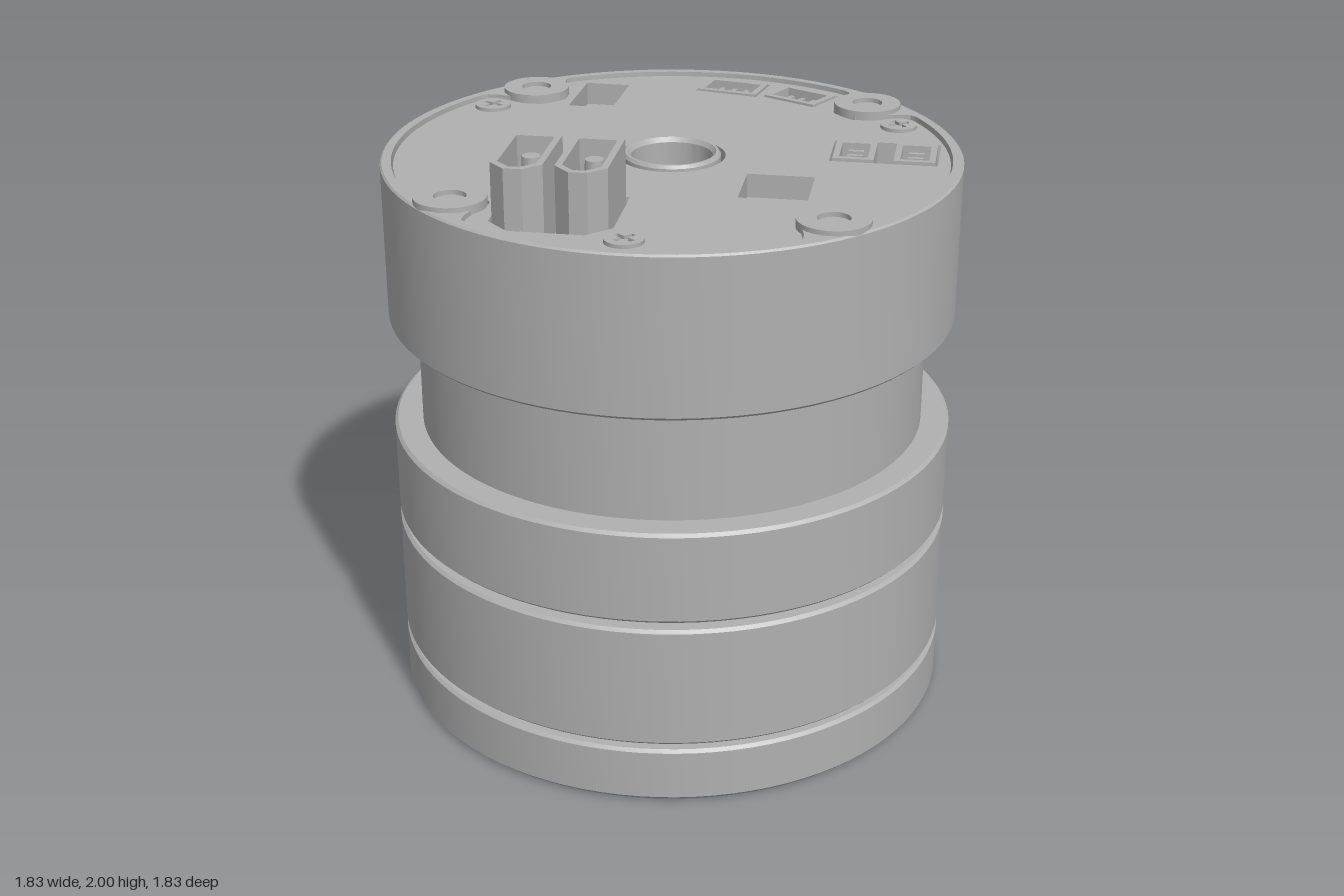
import * as THREE from 'three';
import { toCreasedNormals } from 'three/addons/utils/BufferGeometryUtils.js';

const SEG = 96, R = 0.917, TAU = Math.PI * 2;
const grey = new THREE.MeshStandardMaterial({ color: 0xb0b0b0 });
grey.name = 'machined grey';

export function createModel() {
  const model = new THREE.Group();
  model.name = 'hollowShaftActuator';

  const add = (name, geo, parent = model) => {
    const mesh = new THREE.Mesh(toCreasedNormals(geo, 0.5), grey);
    mesh.name = name;
    parent.add(mesh);
    return mesh;
  };
  const group = (name, parent = model) => {
    const g = new THREE.Group();
    g.name = name;
    parent.add(g);
    return g;
  };
  const lathe = (pts) => new THREE.LatheGeometry(pts.map(p => new THREE.Vector2(...p)), SEG);

  // Horizontal plate: outline points are (x, z), filling y0..y1
  const plate = (outline, holes, y0, y1) => {
    const shape = new THREE.Shape(outline);
    shape.holes = holes.map(h => new THREE.Path(h));
    return new THREE.ExtrudeGeometry(shape, { depth: y1 - y0, bevelEnabled: false })
      .rotateX(Math.PI / 2).translate(0, y1, 0);
  };
  const polar = (fn, n = SEG) => Array.from({ length: n }, (_, i) => {
    const a = i / n * TAU, r = fn(a);
    return new THREE.Vector2(r * Math.cos(a), r * Math.sin(a));
  });
  const circle = (cx, cz, r, n = 32) => polar(() => r, n).map(p => p.add(new THREE.Vector2(cx, cz)));
  const place = (pts, cx, cz, angle) => pts.map(([x, z]) =>
    new THREE.Vector2(x, z).rotateAround(new THREE.Vector2(), angle).add(new THREE.Vector2(cx, cz)));
  // Rotated rectangle, with the two +z corners optionally cut
  const rect = (cx, cz, w, l, angle, cut = 0) => {
    const a = w / 2, b = l / 2;
    const pts = cut
      ? [[-a, -b], [a, -b], [a, b - cut], [a - cut, b], [cut - a, b], [-a, b - cut]]
      : [[-a, -b], [a, -b], [a, b], [-a, b]];
    return place(pts, cx, cz, angle);
  };

  // Main turned body with a through bore, grooves and the neck
  const c = 0.01, floorY = 1.74, rimY = 1.83;
  add('turnedBody', lathe([
    [0.13, 0.1], [0.17, 0.006], [0.66, 0.006], [0.66, 0.12], [0.9, 0.12], [0.9, 0],
    [R, 0.017], [R, 0.19 - c], [R - c, 0.19], [0.85, 0.19], [0.85, 0.21],
    [R - c, 0.21], [R, 0.21 + c], [R, 0.62 - c], [R - c, 0.62],
    [0.19, 0.62], [0.19, 0.645], [0.825, 0.645], [0.825, 1.32],
    [R - c, 1.32], [R, 1.32 + c], [R, rimY - 0.006], [R - 0.006, rimY], [0.9, rimY],
    [0.9, floorY], [0.13, floorY], [0.13, 0.1],
  ]));

  // Collar with a narrow vertical notch
  const notch = Math.atan2(0.24, -0.885), half = 0.02;
  const collar = Array.from({ length: SEG + 1 }, (_, i) => {
    const a = notch + half + i / SEG * (TAU - 2 * half);
    return new THREE.Vector2((R - c) * Math.cos(a), (R - c) * Math.sin(a));
  });
  for (const a of [notch - half, notch + half]) {
    collar.push(new THREE.Vector2(0.86 * Math.cos(a), 0.86 * Math.sin(a)));
  }
  const collarShape = new THREE.Shape(collar);
  collarShape.holes.push(new THREE.Path(circle(0, 0, 0.81, SEG)));
  add('notchedCollar', new THREE.ExtrudeGeometry(collarShape, {
    depth: 0.305 - 2 * c, bevelThickness: c, bevelSize: c, bevelSegments: 1,
  }).rotateX(Math.PI / 2).translate(0, 0.95 - c, 0));

  // Small side plug on the lower housing
  const plug = add('sidePlug', new THREE.CylinderGeometry(0.02, 0.02, 0.012, 16).rotateX(Math.PI / 2));
  plug.position.set(-0.5, 0.49, -0.768);
  plug.rotation.y = Math.atan2(-0.5, -0.768);

  // Cross-head screw: recessed cross cut through a thin disc
  const crossScrew = (name, x, z, y0, y1, r, turn) => {
    const a = r * 0.14, b = r * 0.62;
    const cross = place([[a, a], [b, a], [b, -a], [a, -a], [a, -b], [-a, -b],
      [-a, -a], [-b, -a], [-b, a], [-a, a], [-a, b], [a, b]], x, z, turn);
    add(name, plate(circle(x, z, r), [cross], y0, y1));
  };

  // Output flange face: eight holes, one locating hole, four screws
  const flangeAngles = [...Array.from({ length: 8 }, (_, i) => i * TAU / 8), -TAU * 3 / 16];
  const screwAngles = [0, 1, 2, 3].map(i => -TAU / 16 + i * TAU / 4);
  const onFlange = r => a => circle(0.79 * Math.cos(a), 0.79 * Math.sin(a), r, 24);
  add('outputFlangeFace', plate(circle(0, 0, 0.9, SEG), [circle(0, 0, 0.67, SEG),
    ...flangeAngles.map(onFlange(0.047)), ...screwAngles.map(onFlange(0.075))], 0, 0.12));
  for (const a of screwAngles) {
    crossScrew('flangeScrew', 0.79 * Math.cos(a), 0.79 * Math.sin(a), 0.008, 0.12, 0.066, a);
  }

  // Raised rim, dipping inward around the four mounting bosses
  const bossAngles = [0, 1, 2, 3].map(i => Math.atan2(0.25, 0.765) + i * TAU / 4);
  const inner = a => bossAngles.reduce((r, b) => {
    const d = Math.abs(Math.atan2(Math.sin(a - b), Math.cos(a - b)));
    return r - 0.18 * (1 - THREE.MathUtils.smoothstep(d, 0.06, 0.2));
  }, 0.882);
  add('coverRim', plate(circle(0, 0, 0.9, SEG), [polar(inner, 240)], floorY, rimY));
  for (const a of bossAngles) {
    const x = 0.805 * Math.cos(a), z = 0.805 * Math.sin(a);
    add('mountingBoss', plate(circle(x, z, 0.111), [circle(x, z, 0.05)], floorY, 1.845));
  }

  // Control board with windows and connector pockets
  const tilt = -0.475, boardY = 1.816;
  const sockets = [
    [-0.265, -0.715, 0.21, 0.14, -0.27], [-0.02, -0.765, 0.2, 0.14, 0],
    [0.45, -0.37, 0.18, 0.13, tilt + Math.PI / 2], [0.62, -0.46, 0.18, 0.13, tilt + Math.PI / 2],
  ];
  const pockets = [
    circle(0, 0, 0.17, 48),
    rect(-0.585, -0.37, 0.15, 0.27, -0.44),
    rect(0.44, 0.06, 0.21, 0.22, tilt),
    rect(0.535, -0.415, 0.34, 0.21, tilt),
    rect(0.05, 0.63, 0.37, 0.34, tilt, 0.07),
    ...sockets.slice(0, 2).map(([x, z, w, l, a]) => rect(x, z, w + 0.01, l + 0.01, a)),
  ];
  add('controlBoard', plate(polar(a => inner(a) - 0.006, 240), pockets, floorY, boardY));

  // Bore sleeve
  add('boreSleeve', lathe([[0.155, floorY], [0.155, 1.82], [0.148, rimY],
    [0.14, rimY], [0.13, 1.815], [0.13, floorY]]));

  // Low signal sockets with three pins each
  for (const [x, z, w, l, a] of sockets) {
    const socket = group('signalSocket');
    add('socketShell', plate(rect(x, z, w, l, a), [rect(x, z, w - 0.04, l - 0.04, a)], floorY, 1.822), socket);
    for (const k of [-1, 0, 1]) {
      const [p] = place([[k * 0.045, 0]], x, z, a);
      add('socketPin', plate(rect(p.x, p.y, 0.016, 0.05, a), [], floorY, 1.805), socket);
    }
  }

  // Tall twin power connectors
  for (const [x, z] of [[-0.035, 0.67], [0.135, 0.585]]) {
    const power = group('powerConnector');
    const outer = rect(x, z, 0.155, 0.325, tilt, 0.05);
    add('connectorBase', plate(outer, [], floorY, 1.84), power);
    add('connectorShell', plate(outer, [rect(x, z, 0.115, 0.285, tilt, 0.04)], 1.84, 2), power);
    for (const s of [-1, 1]) {
      const [p] = place([[0, s * 0.08]], x, z, tilt);
      add('powerPin', new THREE.CylinderGeometry(0.028, 0.034, 0.12, 20), power)
        .position.set(p.x, 1.9, p.y);
    }
  }

  // Cover screws
  for (const [x, z, t] of [[0.43, -0.67, 0.5], [-0.79, -0.05, 0], [0.35, 0.7, 0.2]]) {
    crossScrew('coverScrew', x, z, boardY - 0.01, boardY + 0.012, 0.06, t);
  }
  return model;
}
